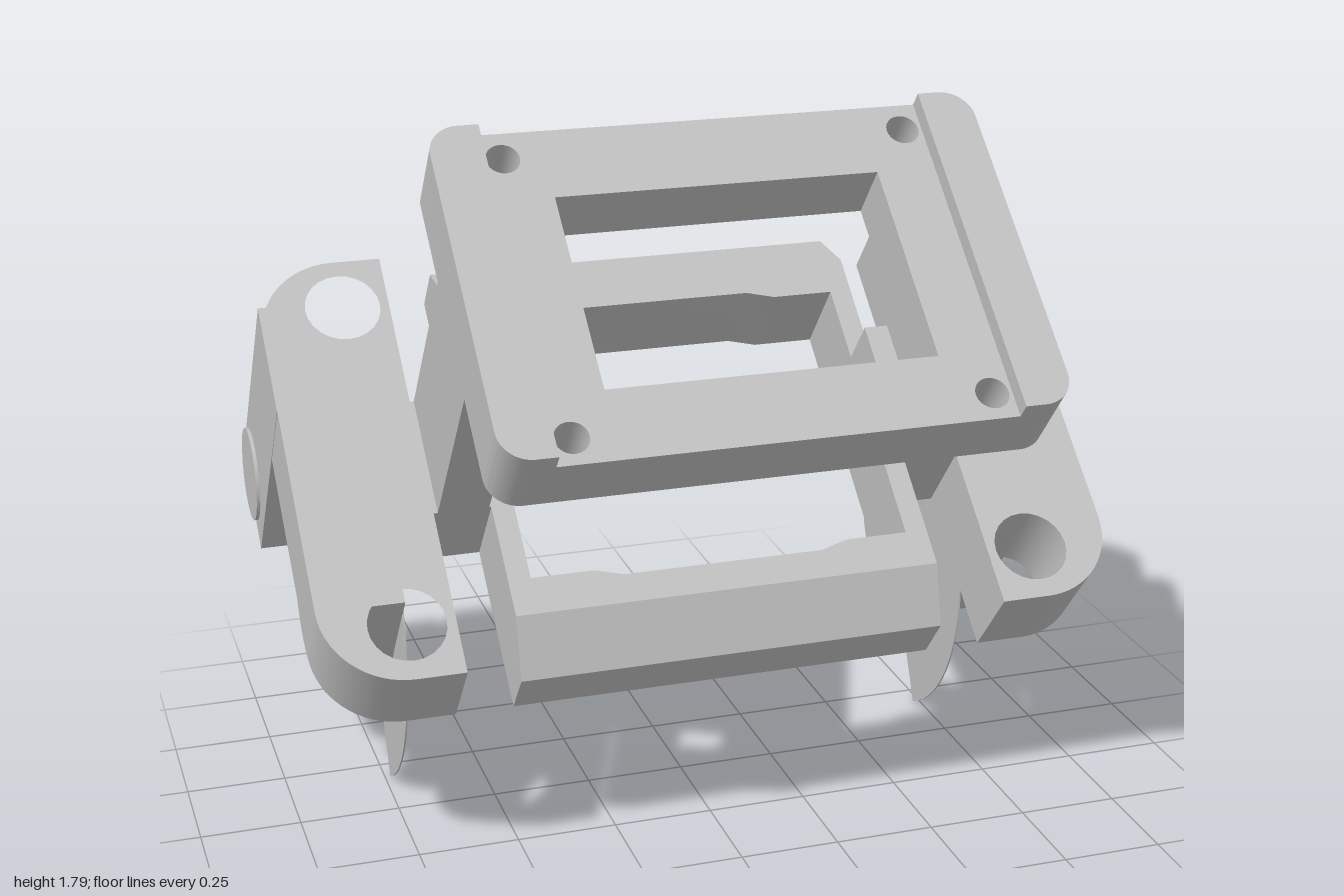
import * as THREE from 'three';
import { toCreasedNormals } from 'three/addons/utils/BufferGeometryUtils.js';

const V = (x, y) => new THREE.Vector2(x, y);

// Points along an arc, angles in degrees
function arc(cx, cy, r, from, to, n = 16) {
  return Array.from({ length: n + 1 }, (_, i) => {
    const a = THREE.MathUtils.degToRad(from + ((to - from) * i) / n);
    return V(cx + r * Math.cos(a), cy + r * Math.sin(a));
  });
}

function makeShape(points, holes = []) {
  const shape = new THREE.Shape(points);
  for (const h of holes) shape.holes.push(new THREE.Path(h));
  return shape;
}

const rect = (x0, y0, x1, y1) => [V(x0, y0), V(x1, y0), V(x1, y1), V(x0, y1)];
const circle = (x, y, r) => arc(x, y, r, 0, 345, 23);

export function createModel() {
  const model = new THREE.Group();
  // All parts live in a frame tilted back: y runs along the plates, z is their normal
  const body = new THREE.Group();
  body.name = 'tiltedBracket';
  body.rotation.x = THREE.MathUtils.degToRad(-50);
  model.add(body);

  const grey = new THREE.MeshStandardMaterial({ color: 0xc0c0c0 });
  grey.name = 'light grey';

  function add(name, geo) {
    const mesh = new THREE.Mesh(toCreasedNormals(geo, 0.5), grey);
    mesh.name = name;
    body.add(mesh);
  }
  // Plan outline (x, y) raised from z0 to z1
  function slab(name, points, z0, z1, holes) {
    const geo = new THREE.ExtrudeGeometry(makeShape(points, holes), { depth: z1 - z0, bevelEnabled: false });
    add(name, geo.translate(0, 0, z0));
  }
  // Side outline (y, z) extended across x, mirrored when s is -1
  const sideways = new THREE.Matrix4().makeBasis(
    new THREE.Vector3(0, 1, 0), new THREE.Vector3(0, 0, 1), new THREE.Vector3(1, 0, 0));
  function across(name, points, x0, x1, s = 1, holes) {
    const geo = new THREE.ExtrudeGeometry(makeShape(points, holes), { depth: x1 - x0, bevelEnabled: false });
    add(name, geo.applyMatrix4(sideways).translate(s > 0 ? x0 : -x1, 0, 0));
  }

  const low = 0.555, high = 0.782;

  // Lower frame with a window that widens slightly in the middle
  const win = [
    V(-0.475, 0.22), V(-0.32, 0.22), V(-0.25, 0.2), V(0.25, 0.2), V(0.32, 0.22), V(0.475, 0.22),
    V(0.475, 0.935), V(0.32, 0.935), V(0.25, 0.955), V(-0.25, 0.955), V(-0.32, 0.935), V(-0.475, 0.935)];
  slab('lowerFrame', rect(-0.53, 0.126, 0.53, 1.03), low, high, [win]);
  across('frontChamferedBar', [V(0, low), V(0.126, low), V(0.126, high), V(0, 0.69)], -0.53, 0.53);
  across('rearChamferedBar', [V(1.03, low), V(1.155, low), V(1.155, 0.69), V(1.03, high)], -0.53, 0.53);

  // Upper frame plate with window and screw holes
  const screws = [];
  for (const x of [-0.487, 0.487]) for (const y of [0.208, 0.947]) screws.push(circle(x, y, 0.04));
  slab('upperFrame', rect(-0.535, 0.141, 0.535, 1.018), 1.295, 1.45,
    [rect(-0.39, 0.318, 0.39, 0.831), ...screws]);

  for (const s of [1, -1]) {
    const side = s > 0 ? 'left' : 'right';
    const flip = (pts) => pts.map((p) => V(p.x * s, p.y));

    // Raised, round-cornered rail at the end of the upper frame
    slab(side + 'UpperRail', flip([
      V(0.535, 0.141), ...arc(0.585, 0.216, 0.075, -90, 0),
      ...arc(0.585, 0.943, 0.075, 0, 90), V(0.535, 1.018)]), 1.295, 1.492);

    // Neck joining the two frames, with its foot and inner step
    slab(side + 'Neck', flip(rect(0.535, 0.42, 0.66, 0.733)), high, 1.295);
    slab(side + 'NeckFoot', flip(rect(0.53, 0.42, 0.67, 0.733)), low, high);
    slab(side + 'NeckStep', flip(rect(0.475, 0.51, 0.535, 0.733)), high, 0.92);

    // Side plate with rounded outer corners and two large holes
    slab(side + 'SidePlate', flip([
      V(0.67, 0), ...arc(0.79, 0.2, 0.2, -90, 0),
      ...arc(0.79, 0.955, 0.2, 0, 90), V(0.67, 1.155)]), low, high,
      [flip(circle(0.785, 0.14, 0.093)), flip(circle(0.785, 1.02, 0.093))]);

    // Outer ear with a shallow round boss
    across(side + 'Ear', rect(0.742, 0.093, 1.04, 0.781), 0.915, 0.991, s);
    across(side + 'EarBoss', circle(0.917, 0.183, 0.122), 0.94, 1, s);

    // Pivot arm ending in a ring
    across(side + 'PivotArm', [
      V(0.308, low), V(0.308, 0.093), ...arc(0.581, 0.093, 0.205, 180, 360, 28),
      V(0.854, 0.093), V(0.854, low)], 0.735, 0.895, s, [circle(0.581, 0.093, 0.115)]);

    // Thin curved fin around the pivot
    across(side + 'CurvedFin', [
      ...arc(0.581, 0.093, 0.485, -25, 205, 48),
      ...arc(0.581, 0.093, 0.33, 205, -25, 48)], 0.732, 0.736, s);
  }
  return model;
}
